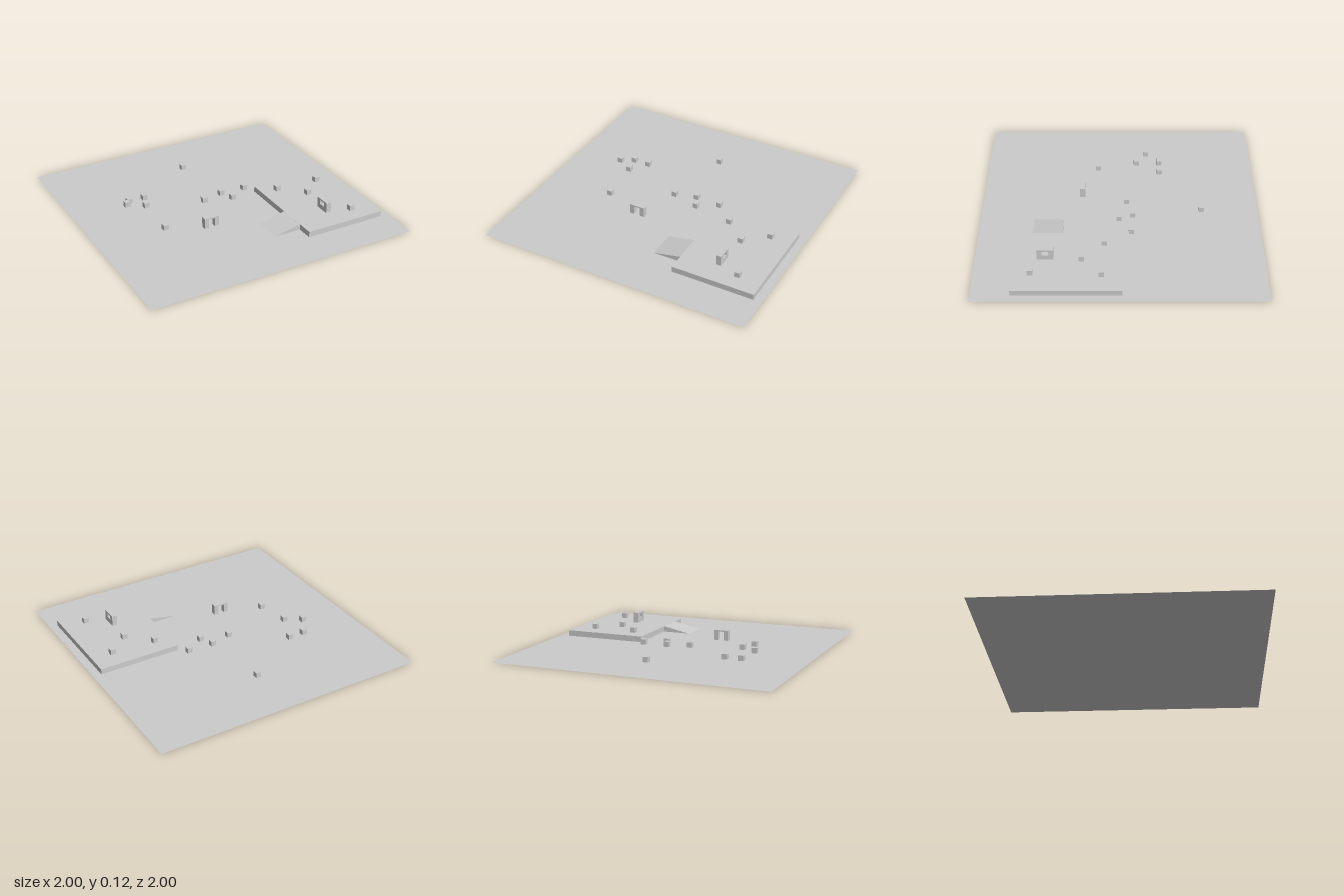
import * as THREE from 'three';

const grey = new THREE.MeshStandardMaterial({ color: 0xcccccc, flatShading: true });
const groundGrey = new THREE.MeshStandardMaterial({ color: 0xcccccc, side: THREE.DoubleSide });

const BASE = 0.004;   // underside of everything resting on the ground
const DECK = 0.042;   // top of the raised platform
const UNIT = 0.038;   // edge of a small block

export function createModel() {
  const model = new THREE.Group();

  const add = (name, geometry, x = 0, y = 0, z = 0, material = grey) => {
    const mesh = new THREE.Mesh(geometry, material);
    mesh.name = name;
    mesh.position.set(x, y, z);
    model.add(mesh);
    return mesh;
  };

  // Extrude a polygon (with an optional hole) centred on its depth
  const slab = (points, depth, hole) => {
    const toVectors = (list) => list.map(([x, y]) => new THREE.Vector2(x, y));
    const shape = new THREE.Shape(toVectors(points));
    if (hole) shape.holes.push(new THREE.Path(toVectors(hole)));
    return new THREE.ExtrudeGeometry(shape, { depth, bevelEnabled: false }).translate(0, 0, -depth / 2);
  };

  // Flat ground sheet
  add('ground', new THREE.PlaneGeometry(2, 2).rotateX(-Math.PI / 2), 0, 0, 0, groundGrey);

  // Raised platform with a ramp leading up to it
  add('platform', new THREE.BoxGeometry(0.605, DECK, 0.75), 0.638, DECK / 2, 0.357);
  add('ramp', slab([[0.13, 0], [0.336, 0], [0.336, DECK]], 0.21), 0, 0, 0.508);

  // Small blocks on the ground, hovering, and on the platform
  const block = new THREE.BoxGeometry(UNIT, UNIT, UNIT);
  const blocks = {
    groundBlock: [BASE, [
      [0.03, -0.59], [-0.555, -0.3], [-0.435, -0.3], [-0.068, -0.05],
      [0.093, -0.092], [0.282, -0.082], [0.136, 0.006], [-0.49, 0.163],
    ]],
    floatingBlock: [DECK, [[-0.617, -0.2], [-0.5, -0.126]]],
    platformBlock: [DECK, [[0.457, 0.108], [0.784, 0.125], [0.623, 0.264], [0.767, 0.606]]],
  };
  for (const [name, [bottom, spots]] of Object.entries(blocks)) {
    for (const [x, z] of spots) add(name, block, x, bottom + UNIT / 2, z);
  }

  // Doorway on the ground
  const w = 0.057, d = 0.024;
  add('doorway', slab([
    [-w, BASE], [-d, BASE], [-d, 0.069], [d, 0.069],
    [d, BASE], [w, BASE], [w, 0.079], [-w, 0.079],
  ], UNIT), -0.19, 0, 0.275);

  // Wall with a window on the platform
  add('windowWall', slab(
    [[-w, DECK], [w, DECK], [w, 0.119], [-w, 0.119]], UNIT,
    [[-d, 0.077], [-d, 0.107], [d, 0.107], [d, 0.077]],
  ), 0.602, 0, 0.511).rotation.y = Math.PI / 2;

  return model;
}
